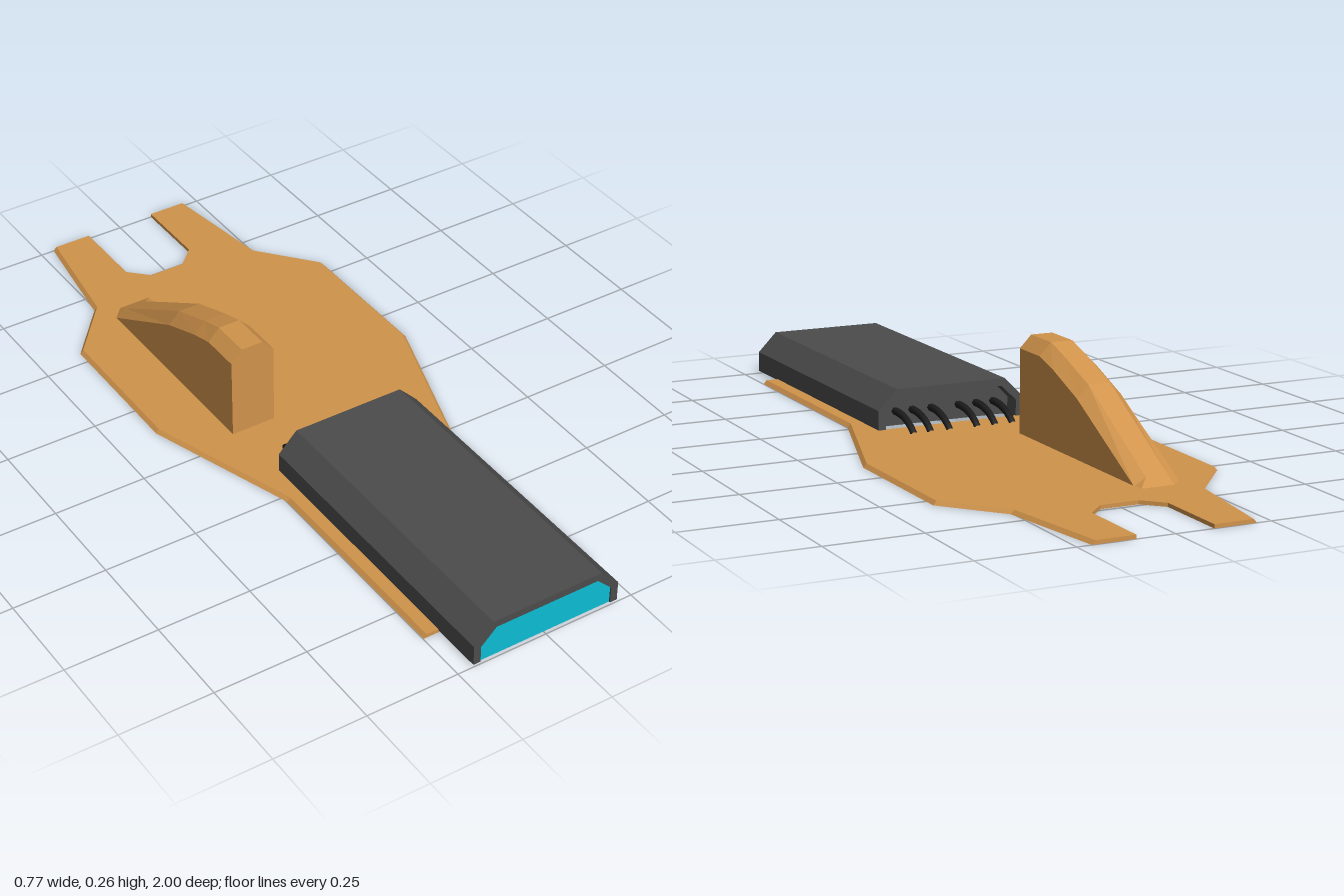
import * as THREE from 'three';

const material = (name, color, side = THREE.FrontSide) => {
  const m = new THREE.MeshStandardMaterial({ color, side });
  m.name = name;
  return m;
};

const shapeOf = (points) => new THREE.Shape(points.map(([x, y]) => new THREE.Vector2(x, y)));

// Completes a symmetric outline from its +x half
const mirrored = (half) => [...half, ...half.map(([x, y]) => [-x, y]).reverse()];

const extrude = (shape, depth) =>
  new THREE.ExtrudeGeometry(shape, { depth, bevelEnabled: false });

// Thin base plate: forked tail, two front arms, sloping outer rim
function plateGeometry() {
  const half = [
    [0.05, -0.74], [0.10, -0.79], [0.10, -1], [0.203, -1], [0.247, -0.69],
    [0.373, -0.54], [0.375, -0.14], [0.24, 0.27], [0.24, 0.86],
    [0.2, 0.86], [0.2, 0.17],
  ].map(([x, z]) => [x, -z]);
  const g = extrude(shapeOf(mirrored(half)), 0.01);
  g.rotateX(-Math.PI / 2);
  const p = g.attributes.position;
  for (let i = 0; i < p.count; i++) {
    const x = p.getX(i);
    if (Math.abs(x) > 0.201 && p.getY(i) < 0.005) p.setX(i, x + Math.sign(x) * 0.009);
  }
  g.computeVertexNormals();
  return g;
}

// Offset fin lofted from chamfered sections running backwards
function finGeometry() {
  const stations = [ // z, top height, shoulder height
    [-0.02, 0.265, 0.232], [-0.13, 0.265, 0.232], [-0.2, 0.243, 0.212],
    [-0.33, 0.195, 0.163], [-0.62, 0.028, 0.009], [-0.655, 0.008, 0.008],
  ];
  const rings = stations.map(([z, top, shoulder]) => [
    [-0.228, 0.006, z], [-0.228, shoulder, z], [-0.197, top, z],
    [-0.137, top, z], [-0.105, shoulder, z], [-0.105, 0.006, z],
  ]);
  const v = [];
  const tri = (a, b, c) => v.push(...a, ...b, ...c);
  for (let s = 0; s < rings.length - 1; s++) {
    for (let i = 0; i < 6; i++) {
      const j = (i + 1) % 6;
      const [a, b, c, d] = [rings[s][i], rings[s][j], rings[s + 1][j], rings[s + 1][i]];
      tri(a, b, c);
      tri(a, c, d);
    }
  }
  const first = rings[0], last = rings[rings.length - 1];
  for (let i = 1; i < 5; i++) {
    tri(first[0], first[i + 1], first[i]);
    tri(last[0], last[i], last[i + 1]);
  }
  const g = new THREE.BufferGeometry();
  g.setAttribute('position', new THREE.Float32BufferAttribute(v, 3));
  g.computeVertexNormals();
  return g;
}

export function createModel() {
  const group = new THREE.Group();
  const copper = material('copper', 0xd0934b);
  const grey = material('dark grey', 0x4c4c4c);
  const cyan = material('cyan', 0x0cbcd4);
  const black = material('black', 0x1c1c1c);

  const add = (name, geometry, mat, z = 0) => {
    const mesh = new THREE.Mesh(geometry, mat);
    mesh.name = name;
    mesh.position.z = z;
    group.add(mesh);
    return mesh;
  };

  add('basePlate', plateGeometry(), copper);
  add('fin', finGeometry(), copper);

  // Chamfered arch housing
  const outer = [[0.207, 0.007], [0.207, 0.061], [0.155, 0.114]];
  const inner = [[0.187, 0.007], [0.187, 0.053], [0.145, 0.094]];
  const arch = [...mirrored(outer), ...mirrored(inner).reverse()];
  add('housing', extrude(shapeOf(arch), 0.835), grey, 0.165);

  // Core filling the arch, recessed at the rear, with a coloured front face
  const coreShape = shapeOf(mirrored(inner));
  add('housingCore', extrude(coreShape, 0.775), grey, 0.215);
  add('frontPanel', extrude(coreShape, 0.006), cyan, 0.99);

  // Bent contact pins leaving the rear of the housing
  const pinCurve = new THREE.QuadraticBezierCurve3(
    new THREE.Vector3(0, 0.045, 0.22),
    new THREE.Vector3(0, 0.05, 0.14),
    new THREE.Vector3(0, 0.008, 0.095),
  );
  for (const x of [-0.143, -0.093, -0.042, 0.037, 0.091, 0.139]) {
    add('contactPin', new THREE.TubeGeometry(pinCurve, 6, 0.01, 6), black).position.x = x;
  }
  return group;
}
